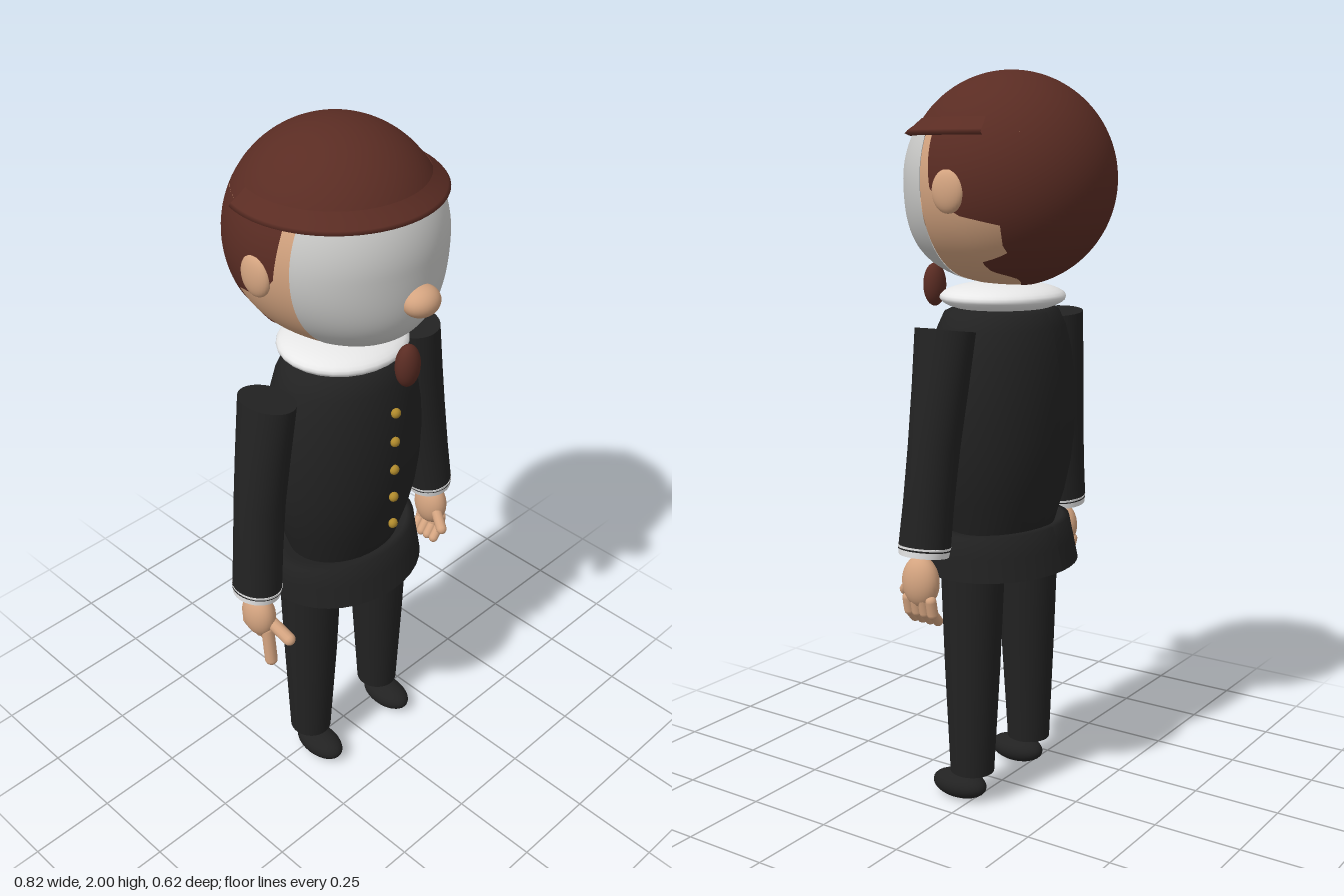
import * as THREE from 'three';

const mat = (name, color, side = THREE.FrontSide) => {
  const m = new THREE.MeshStandardMaterial({ color, side });
  m.name = name;
  return m;
};

export function createModel() {
  const root = new THREE.Group();
  root.name = 'figure';
  const cloth = mat('black cloth', 0x222222, THREE.DoubleSide);
  const hair = mat('brown hair', 0x5a2c23, THREE.DoubleSide);
  const skin = mat('skin', 0xd4a480, THREE.DoubleSide);
  const white = mat('white linen', 0xe8e8e8, THREE.DoubleSide);
  const mask = mat('pale grey face', 0xcbcbc9, THREE.DoubleSide);
  const gold = mat('gold', 0xb08a2c);

  const add = (name, geo, m, parent = root) => {
    const mesh = new THREE.Mesh(geo, m);
    mesh.name = name;
    parent.add(mesh);
    return mesh;
  };
  const ball = (name, [x, y, z], [rx, ry, rz], m, parent) => {
    const mesh = add(name, new THREE.SphereGeometry(1, 28, 18), m, parent);
    mesh.position.set(x, y, z);
    mesh.scale.set(rx, ry, rz);
    return mesh;
  };
  // Elliptical tube through sections [y, rx, rz, cx, cz], listed from the top down
  const loft = (sections, open = false) => {
    const n = sections.length - 1;
    const g = new THREE.CylinderGeometry(1, 1, 1, 36, n, open).rotateY(Math.PI);
    const p = g.attributes.position;
    for (let i = 0; i < p.count; i++) {
      const [y, rx, rz, cx = 0, cz = 0] = sections[Math.round((0.5 - p.getY(i)) * n)];
      p.setXYZ(i, p.getX(i) * rx + cx, y, p.getZ(i) * rz + cz);
    }
    g.computeVertexNormals();
    return g;
  };
  // Rounded finger between two points
  const finger = (name, a, b, r, parent) => {
    const va = new THREE.Vector3(...a), d = new THREE.Vector3(...b).sub(va);
    const mesh = add(name, new THREE.CapsuleGeometry(r, d.length(), 5, 12), skin, parent);
    mesh.position.copy(va).addScaledVector(d, 0.5);
    mesh.quaternion.setFromUnitVectors(new THREE.Vector3(0, 1, 0), d.normalize());
  };

  // ---- Head: partial shells, angle runs from +x towards the back ----
  const head = new THREE.Group();
  head.name = 'head';
  head.position.set(0, 1.72, -0.03);
  root.add(head);
  const R = 0.28;
  const frontDepth = (y) => 0.29 * Math.sqrt(Math.max(0, 1 - Math.pow(Math.abs(y) / R, y < 0 ? 4 : 2)));
  const shell = (grow, yTop, range) => {
    const rows = 48, cols = 48, pos = [], index = [];
    const t0 = Math.acos(yTop / R);
    for (let j = 0; j <= rows; j++) {
      const t = t0 + (Math.PI - t0) * j / rows, y = R * Math.cos(t), r = R * Math.sin(t);
      const [a0, a1] = range(y);
      for (let i = 0; i <= cols; i++) {
        const a = a0 + (a1 - a0) * i / cols, s = Math.sin(a);
        pos.push(r * Math.cos(a) * grow, y * grow, -s * grow * (s < 0 && grow <= 1 ? frontDepth(y) : r));
        if (i < cols && j < rows) {
          const k = j * (cols + 1) + i, d = k + cols + 1;
          index.push(k, d, d + 1, k, d + 1, k + 1);
        }
      }
    }
    const g = new THREE.BufferGeometry();
    g.setAttribute('position', new THREE.Float32BufferAttribute(pos, 3));
    g.setIndex(index);
    g.computeVertexNormals();
    return g;
  };
  const faceEdge = (y) => -Math.asin(Math.min(1, 0.11 / Math.max(frontDepth(y), 0.001)));
  add('face', shell(1, 0.13, (y) => [-Math.PI - faceEdge(y), faceEdge(y)]), mask, head);
  add('cheeksAndNape', shell(0.995, 0.13, (y) => [faceEdge(y), Math.PI - faceEdge(y)]), skin, head);

  // Hairline: [height, degrees behind the ear line]
  const hairline = [[0.12, -18], [-0.02, -14], [-0.06, -6], [-0.09, 6], [-0.105, 27], [-0.16, 28],
    [-0.18, 31], [-0.195, 20], [-0.205, 10], [-0.23, 15], [-0.25, 40], [-0.28, 60]];
  const hairEdge = (y) => {
    let k = 1;
    while (k < hairline.length - 1 && y < hairline[k][0]) k++;
    const [y0, a0] = hairline[k - 1], [y1, a1] = hairline[k];
    const f = THREE.MathUtils.clamp((y - y0) / (y1 - y0), 0, 1);
    return THREE.MathUtils.degToRad(a0 + (a1 - a0) * f);
  };
  const back = shell(1.006, 0.12, (y) => [hairEdge(y), Math.PI - hairEdge(y)]);
  const bp = back.attributes.position, v = new THREE.Vector3();
  for (let i = 0; i < bp.count; i++) {
    v.fromBufferAttribute(bp, i).normalize();
    back.attributes.normal.setXYZ(i, v.x, v.y, v.z);
  }
  add('backHair', back, hair, head);
  add('hairCap', new THREE.SphereGeometry(R * 1.006, 48, 20, 0, Math.PI * 2, 0, Math.acos(0.12 / R)), hair, head);
  // Flared fringe across the forehead
  const fringe = [[0.2, 0.115], [0.268, 0.113], [0.281, 0.119], [0.274, 0.127], [0.256, 0.14], [0.236, 0.158]]
    .map(([x, y]) => new THREE.Vector2(x, y));
  add('fringe', new THREE.LatheGeometry(fringe, 40, -1.88, 3.76), hair, head);

  ball('nose', [0, 1.63, 0.262], [0.052, 0.04, 0.046], skin);
  ball('goatee', [0, 1.43, 0.226], [0.036, 0.06, 0.03], hair);
  for (const s of [-1, 1]) {
    ball('ear', [s * 0.274, 1.695, -0.02], [0.022, 0.056, 0.048], skin);
  }

  // ---- Torso ----
  ball('collar', [0, 1.41, -0.003], [0.18, 0.042, 0.168], white);
  add('jacket', loft([[1.382, 0.15, 0.125], [1.372, 0.178, 0.145], [1.33, 0.2, 0.163], [1.27, 0.218, 0.176],
    [1.2, 0.23, 0.185], [1.12, 0.237, 0.188], [1.03, 0.234, 0.186], [0.95, 0.224, 0.177],
    [0.87, 0.205, 0.161], [0.78, 0.175, 0.135]]), cloth);
  for (let i = 0; i < 5; i++) {
    ball('button', [0, 1.268 - i * 0.091, 0.191], [0.014, 0.014, 0.012], gold);
  }
  // Flared jacket hem, open below
  add('jacketHem', loft([[0.765, 0.15, 0.11], [0.79, 0.21, 0.15], [0.787, 0.232, 0.168],
    [0.73, 0.237, 0.184], [0.668, 0.244, 0.2]], true), cloth);
  add('hips', loft([[0.785, 0.17, 0.13], [0.72, 0.18, 0.11]]), cloth);

  for (const s of [-1, 1]) {
    // ---- Legs and shoes ----
    add('trouserLeg', loft([[0.74, 0.09, 0.09, s * 0.137, 0.004], [0.4, 0.077, 0.077, s * 0.141, 0.004],
      [0.09, 0.06, 0.062, s * 0.146, 0.003]]), cloth);
    ball('shoe', [s * 0.148, 0.039, 0.045], [0.05, 0.039, 0.085], cloth);

    // ---- Arms ----
    const arm = new THREE.Group();
    arm.name = s > 0 ? 'leftArm' : 'rightArm';
    arm.position.set(s * 0.268, 1.345, 0);
    arm.rotation.z = s * 0.135;
    root.add(arm);
    add('sleeve', loft([[0, 0.068, 0.084, 0, -0.004], [-0.15, 0.07, 0.075, s * 0.002, -0.002],
      [-0.3, 0.07, 0.067, s * 0.004, 0.002], [-0.45, 0.068, 0.066, s * 0.002, 0.008],
      [-0.572, 0.066, 0.07, 0, 0.013]]), cloth, arm);
    add('cuff', loft([[-0.562, 0.067, 0.071, 0, 0.013], [-0.588, 0.063, 0.067, 0, 0.013]]), white, arm);

    // ---- Hands ----
    const hand = new THREE.Group();
    hand.name = s > 0 ? 'leftHand' : 'rightHand';
    root.add(hand);
    ball('palm', [s * 0.35, 0.69, 0.022], [0.04, 0.07, 0.054], skin, hand);
    if (s > 0) {
      for (let i = 0; i < 4; i++) {
        const z = 0.056 - i * 0.025;
        finger('finger', [0.362, 0.645, z], [0.355, 0.61, z], 0.015, hand);
        finger('fingerTip', [0.355, 0.61, z], [0.328, 0.583, z + 0.003], 0.014, hand);
      }
      finger('thumb', [0.335, 0.68, 0.06], [0.315, 0.648, 0.1], 0.016, hand);
    } else {
      finger('indexFinger', [-0.35, 0.65, 0.055], [-0.35, 0.545, 0.065], 0.018, hand);
      for (let i = 0; i < 3; i++) {
        const z = 0.035 - i * 0.025;
        finger('curledFinger', [-0.358, 0.65, z], [-0.335, 0.605, z], 0.016, hand);
        finger('curledTip', [-0.335, 0.605, z], [-0.312, 0.63, z + 0.004], 0.015, hand);
      }
      finger('thumb', [-0.34, 0.675, 0.06], [-0.335, 0.65, 0.125], 0.018, hand);
    }
  }
  return root;
}
